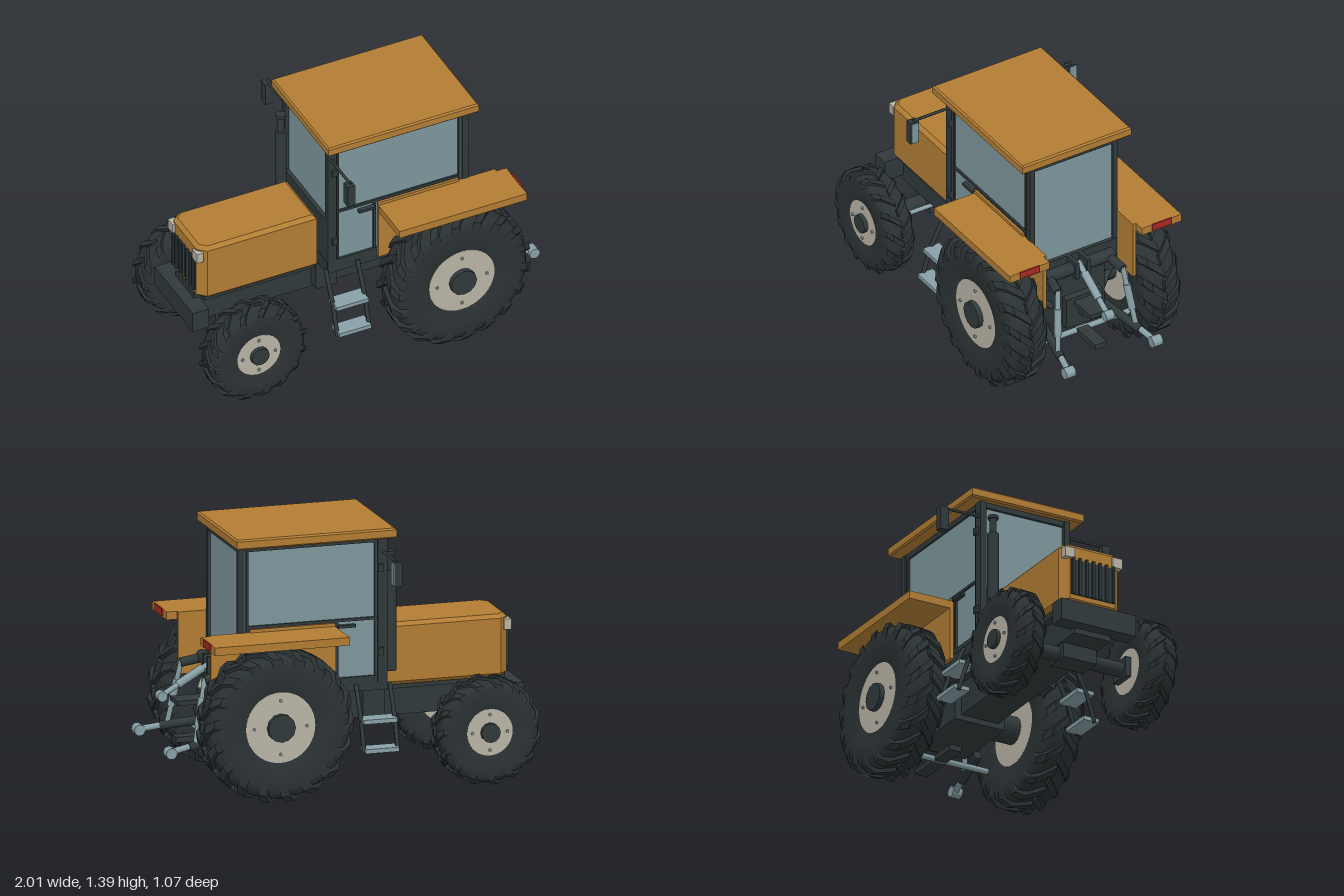
import * as THREE from 'three';
import { mergeGeometries } from 'three/addons/utils/BufferGeometryUtils.js';

const mat = (name, color) => Object.assign(new THREE.MeshStandardMaterial({ color }), { name });

export function createModel() {
  const root = new THREE.Group();
  root.name = 'tractor';
  const paint = mat('orange paint', 0xb27d34);
  const dark = mat('dark metal', 0x30393b);
  const rubber = mat('tyre rubber', 0x2b3234);
  const glass = mat('window glass', 0x7d979c);
  const steel = mat('pale steel', 0x87a0a6);
  const rimGrey = mat('rim grey', 0xbab4a6);
  const red = mat('tail lamp red', 0xa92a25);

  const add = (name, geo, material, parent = root) => {
    const m = new THREE.Mesh(geo, material);
    m.name = name;
    parent.add(m);
    return m;
  };
  // box given by its limits on each axis
  const box = (name, material, x0, x1, y0, y1, z0, z1) => {
    const m = add(name, new THREE.BoxGeometry(x1 - x0, y1 - y0, Math.abs(z1 - z0)), material);
    m.position.set((x0 + x1) / 2, (y0 + y1) / 2, (z0 + z1) / 2);
    return m;
  };
  // round or square bar between two points
  const rod = (name, material, a, b, r, sides = 12) => {
    const A = new THREE.Vector3(...a), B = new THREE.Vector3(...b);
    const m = add(name, new THREE.CylinderGeometry(r, r, A.distanceTo(B), sides), material);
    m.position.copy(A).add(B).multiplyScalar(0.5);
    m.quaternion.setFromUnitVectors(new THREE.Vector3(0, 1, 0), B.sub(A).normalize());
    return m;
  };
  // slab with a chamfered edge all round, extruded upward
  const slab = (name, material, pts, y0, y1, bevel) => {
    const shape = new THREE.Shape(pts.map(p => new THREE.Vector2(...p)));
    const geo = new THREE.ExtrudeGeometry(shape, {
      depth: y1 - y0 - 2 * bevel, bevelSize: bevel, bevelThickness: bevel, bevelOffset: -bevel, bevelSegments: 1,
    });
    geo.rotateX(-Math.PI / 2).translate(0, y0 + bevel, 0);
    return add(name, geo, material);
  };
  const rect = (x0, x1, w) => [[x0, -w], [x1, -w], [x1, w], [x0, w]];

  // one tread lug, lofted from the middle of the tyre to the sidewall
  function lug(R, W, angle, side) {
    const half = 0.075 * R;
    const rings = [[-0.04, 1, 0.9, 0], [0.68, 0.995, 0.9, 0.2], [0.97, 0.9, 0.8, 0.3], [1.0, 0.82, 0.76, 0.32]].map(([t, ro, ri, skew]) =>
      [[ri, -1], [ro, -0.8], [ro, 0.8], [ri, 1]].map(([r, k]) => {
        const a = angle + skew + k * half / R;
        return [Math.cos(a) * r * R, Math.sin(a) * r * R, side * t * W];
      }));
    const pos = [];
    const quad = (a, b, c, d) => pos.push(...(side > 0 ? [a, b, c, a, c, d] : [a, c, b, a, d, c]).flat());
    for (let k = 0; k < rings.length - 1; k++) {
      for (let i = 0; i < 4; i++) {
        const j = (i + 1) % 4;
        quad(rings[k][i], rings[k][j], rings[k + 1][j], rings[k + 1][i]);
      }
    }
    const first = rings[0], last = rings[rings.length - 1];
    quad(first[3], first[2], first[1], first[0]);
    quad(...last);
    const g = new THREE.BufferGeometry();
    g.setAttribute('position', new THREE.Float32BufferAttribute(pos, 3));
    g.computeVertexNormals();
    return g;
  }

  // wheel with its axle along z and its outer face toward +z or -z
  function wheel(name, x, z, R, W, rimR, hubR, lugs, hubOut) {
    const g = new THREE.Group();
    g.name = name;
    const s = Math.sign(z);
    const halfProfile = [[rimR * 0.98, 0.78], [rimR * 1.02, 0.86], [R * 0.66, 0.97], [R * 0.8, 0.97], [R * 0.89, 0.86], [R * 0.94, 0.6]];
    const profile = [...halfProfile.map(([r, t]) => [r, -t]), ...halfProfile.map(p => [...p]).reverse()]
      .map(([r, t]) => new THREE.Vector2(r, t * W));
    add('tyre', new THREE.LatheGeometry(profile, 48).rotateX(Math.PI / 2), rubber, g);
    const treads = [];
    for (let i = 0; i < lugs; i++) {
      const a = i / lugs * Math.PI * 2;
      treads.push(lug(R, W, a, 1), lug(R, W, a + Math.PI / lugs, -1));
    }
    add('tread', mergeGeometries(treads), rubber, g);
    add('rim', new THREE.CylinderGeometry(rimR, rimR, W * 1.68, 40).rotateX(Math.PI / 2), rimGrey, g);
    const hub = add('hub', new THREE.CylinderGeometry(hubR, hubR, hubOut, 12).rotateX(Math.PI / 2), dark, g);
    hub.position.z = s * hubOut / 2;
    for (let i = 0; i < 4; i++) {
      const a = i * Math.PI / 2, r = rimR * 0.76;
      const bolt = add('wheelBolt', new THREE.CylinderGeometry(0.008, 0.008, 0.012, 8).rotateX(Math.PI / 2), steel, g);
      bolt.position.set(Math.cos(a) * r, Math.sin(a) * r, s * (W * 0.84 + 0.003));
    }
    g.position.set(x, R, z);
    root.add(g);
  }

  // hood, grille and front weight
  slab('hood', paint, [[-0.92, -0.135], [-0.875, -0.178], [-0.24, -0.178], [-0.24, 0.178], [-0.875, 0.178], [-0.92, 0.135]], 0.505, 0.84, 0.02);
  box('grille', dark, -0.926, -0.915, 0.55, 0.75, -0.13, 0.13);
  for (let i = 0; i < 7; i++) box('grilleSlat', dark, -0.936, -0.92, 0.55, 0.76, -0.127 + i * 0.04, -0.113 + i * 0.04);
  box('frontWeight', dark, -0.985, -0.89, 0.36, 0.48, -0.225, 0.225);

  // frame
  box('chassis', dark, -0.92, 0.6, 0.33, 0.51, -0.11, 0.11);
  box('engineSill', dark, -0.88, -0.22, 0.48, 0.52, -0.15, 0.15);
  box('transmission', dark, -0.24, -0.12, 0.35, 0.52, -0.17, 0.17);
  box('rearHousing', dark, 0.25, 0.66, 0.3, 0.62, -0.15, 0.15);
  box('rearHousingCover', dark, 0.66, 0.7, 0.32, 0.5, -0.11, 0.11);
  rod('powerShaft', dark, [0.68, 0.41, 0], [0.74, 0.41, 0], 0.04);
  box('drawbar', dark, 0.5, 0.86, 0.25, 0.28, -0.035, 0.035);
  box('towHitch', dark, 0.66, 0.86, 0.455, 0.48, -0.065, 0.065);
  rod('rearAxle', dark, [0.44, 0.412, -0.42], [0.44, 0.412, 0.42], 0.075);
  rod('frontAxle', dark, [-0.72, 0.29, -0.4], [-0.72, 0.29, 0.4], 0.04);
  box('axlePivot', dark, -0.79, -0.65, 0.25, 0.36, -0.1, 0.1);

  // cab
  box('cabFloor', dark, -0.225, 0.59, 0.51, 0.585, -0.265, 0.265);
  box('cabGlass', glass, -0.2, 0.58, 0.58, 1.33, -0.255, 0.255);
  box('rearPanel', dark, 0.52, 0.6, 0.58, 0.7, -0.262, 0.262);
  box('frontPanel', dark, -0.222, -0.19, 0.55, 0.85, -0.25, 0.25);
  box('cabHeader', dark, -0.215, 0.595, 1.305, 1.34, -0.265, 0.265);
  slab('roof', paint, rect(-0.252, 0.625, 0.337), 1.335, 1.39, 0.009);
  // exhaust
  rod('exhaustMuffler', dark, [-0.257, 0.6, -0.215], [-0.257, 1.14, -0.215], 0.031, 16);
  rod('exhaustPipe', dark, [-0.257, 1.14, -0.215], [-0.257, 1.23, -0.215], 0.019, 16);
  rod('exhaustCap', dark, [-0.257, 1.225, -0.215], [-0.257, 1.243, -0.215], 0.028, 16);

  // top link of the hitch
  rod('topLink', steel, [0.64, 0.67, 0], [0.93, 0.5, 0], 0.015);
  rod('topLinkSleeve', steel, [0.7, 0.635, 0], [0.84, 0.553, 0], 0.022);
  rod('topLinkEnd', steel, [0.93, 0.5, -0.025], [0.93, 0.5, 0.025], 0.027, 16);
  rod('hitchCrossShaft', dark, [0.64, 0.645, -0.21], [0.64, 0.645, 0.21], 0.035);
  rod('lowerCrossBar', steel, [0.67, 0.265, -0.29], [0.67, 0.265, 0.29], 0.016);

  for (const s of [1, -1]) {
    wheel('frontWheel', -0.72, s * 0.396, 0.288, 0.086, 0.125, 0.052, 15, 0.095);
    wheel('rearWheel', 0.44, s * 0.411, 0.412, 0.115, 0.19, 0.075, 18, 0.124);

    // headlamp at the hood corner
    box('headlamp', rimGrey, -0.934, -0.895, 0.755, 0.812, s * 0.115, s * 0.172);

    // steering gear
    rod('steeringRod', steel, [-0.65, 0.3, s * 0.08], [-0.65, 0.3, s * 0.33], 0.012);
    box('steeringKnuckle', dark, -0.77, -0.64, 0.24, 0.35, s * 0.285, s * 0.32);

    // cab posts and door frame
    box('frontPost', dark, -0.222, -0.17, 0.55, 1.335, s * 0.235, s * 0.27);
    box('rearPost', dark, 0.562, 0.597, 0.55, 1.335, s * 0.242, s * 0.27);
    box('doorPost', dark, 0.538, 0.55, 0.58, 1.335, s * 0.25, s * 0.267);
    box('doorFrontFrame', dark, -0.165, -0.153, 0.58, 1.32, s * 0.25, s * 0.262);
    box('doorRail', dark, -0.165, 0.545, 0.89, 0.905, s * 0.25, s * 0.265);
    box('doorInnerFrame', dark, 0.045, 0.06, 0.57, 0.9, s * 0.25, s * 0.265);
    box('doorSill', dark, -0.2, 0.07, 0.565, 0.59, s * 0.25, s * 0.267);
    box('doorHandle', dark, -0.045, 0.05, 0.86, 0.875, s * 0.26, s * 0.285);
    for (const y of [0.72, 1.17]) box('doorHinge', dark, -0.2, -0.17, y - 0.02, y + 0.02, s * 0.265, s * 0.285);

    // mirror
    rod('mirrorArm', dark, [-0.2, 1.252, s * 0.26], [-0.2, 1.252, s * 0.49], 0.008, 8);
    box('mirrorBody', dark, -0.225, -0.183, 1.12, 1.25, s * 0.463, s * 0.513);
    box('mirrorGlass', glass, -0.183, -0.179, 1.125, 1.245, s * 0.467, s * 0.509);

    // fender with tail lamp
    box('fenderTop', paint, 0.068, 0.808, 0.83, 0.873, s * 0.285, s * 0.53);
    box('fenderWall', paint, 0.065, 0.75, 0.54, 0.873, s * 0.266, s * 0.287);
    box('fenderLedge', paint, 0.065, 0.535, 0.87, 0.89, s * 0.266, s * 0.28);
    box('tailLamp', red, 0.806, 0.815, 0.84, 0.878, s * 0.348, s * 0.468);

    // boarding steps
    for (const x of [-0.235, -0.05]) {
      rod('stepRail', dark, [x, 0.55, s * 0.27], [x, 0.37, s * 0.36], 0.012, 6);
      rod('stepRail', dark, [x, 0.37, s * 0.36], [x, 0.21, s * 0.41], 0.012, 6);
    }
    box('upperStep', steel, -0.235, -0.05, 0.365, 0.388, s * 0.305, s * 0.405);
    box('lowerStep', steel, -0.235, -0.05, 0.215, 0.238, s * 0.345, s * 0.437);

    // hitch arms
    rod('lowerLink', dark, [0.6, 0.31, s * 0.19], [0.86, 0.278, s * 0.245], 0.024, 8);
    rod('lowerLinkTip', steel, [0.85, 0.28, s * 0.243], [0.965, 0.262, s * 0.265], 0.017);
    rod('lowerLinkBall', steel, [0.968, 0.26, s * 0.24], [0.968, 0.26, s * 0.297], 0.03, 16);
    rod('liftArm', dark, [0.63, 0.645, s * 0.18], [0.76, 0.62, s * 0.2], 0.025, 8);
    rod('liftRod', steel, [0.755, 0.63, s * 0.2], [0.82, 0.29, s * 0.24], 0.014);
    rod('liftRodSleeve', steel, [0.775, 0.53, s * 0.212], [0.802, 0.385, s * 0.229], 0.02);
    rod('swayBrace', dark, [0.55, 0.53, s * 0.27], [0.62, 0.43, s * 0.15], 0.018, 8);
    box('topLinkBracket', dark, 0.6, 0.69, 0.6, 0.7, s * 0.025, s * 0.045);
  }
  return root;
}
